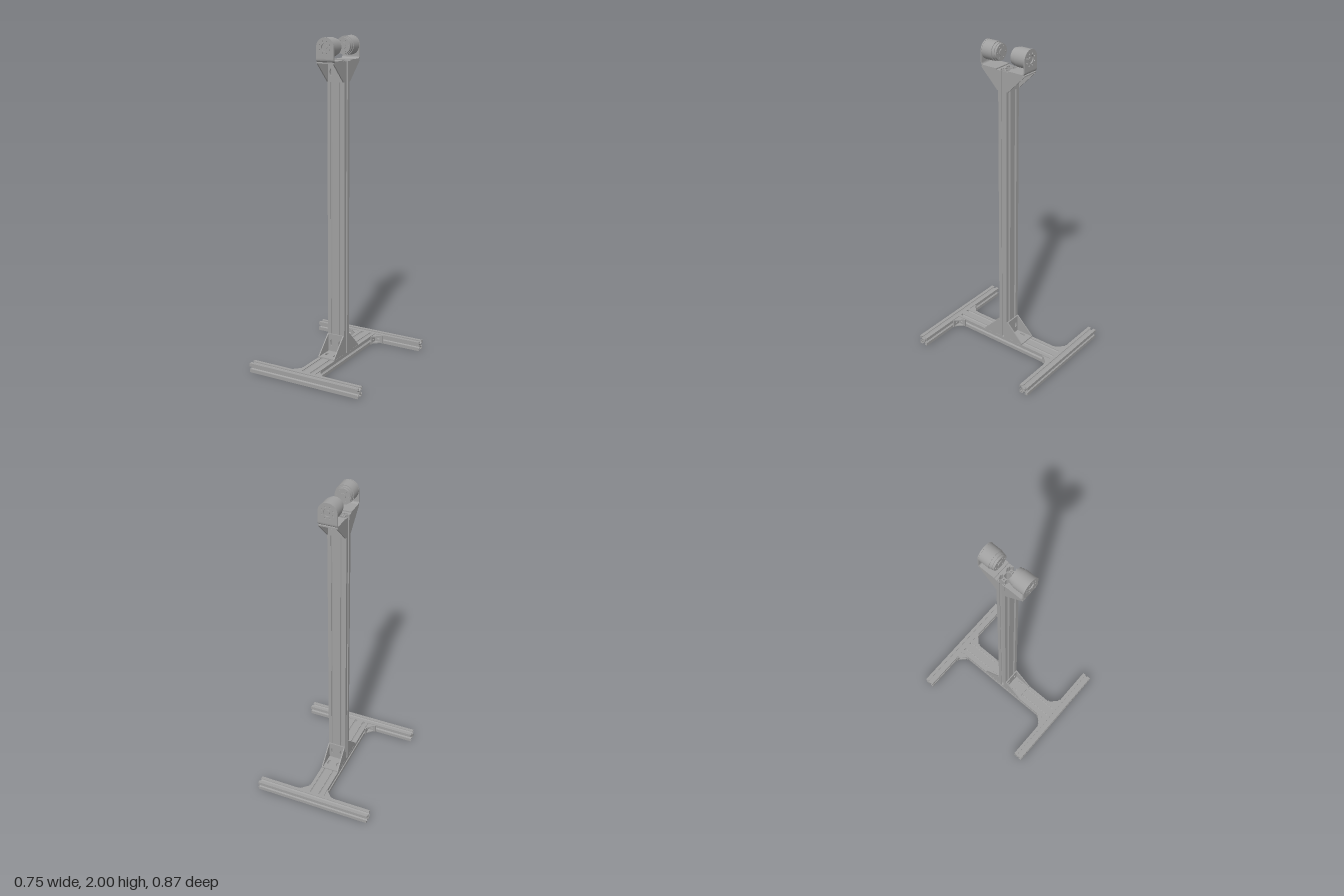
import * as THREE from 'three';

const H = 0.029;      // half side of one square rail
const POST_TOP = 1.858;
const OFF = -0.002;   // slight sideways offset of post and beam
const MOTOR_Y = 1.942;

const grey = new THREE.MeshStandardMaterial({ color: 0xa0a0a0 });
grey.name = 'aluminium grey';

function mesh(name, geometry, parent) {
  const m = new THREE.Mesh(geometry, grey);
  m.name = name;
  parent.add(m);
  return m;
}

const poly = (pts) => new THREE.Shape(pts.map(([x, y]) => new THREE.Vector2(x, y)));

function circleHole(shape, x, y, rx, ry = rx) {
  const p = new THREE.Path();
  p.absellipse(x, y, rx, ry, 0, Math.PI * 2, true);
  shape.holes.push(p);
}

// Extrude along z, centred on z = 0
function extrude(shape, depth, curveSegments = 8) {
  const g = new THREE.ExtrudeGeometry(shape, { depth, bevelEnabled: false, curveSegments });
  return g.translate(0, 0, -depth / 2);
}

// Extrude a (z, y) outline along x, centred on x = 0
const extrudeSide = (shape, width) => extrude(shape, width).rotateY(-Math.PI / 2);

// T-slot rail section made of one or two square units side by side
function railShape(units) {
  const slot = [[-0.008, H], [-0.008, 0.025], [-0.0165, 0.025], [-0.0165, 0.0185], [-0.0075, 0.0105],
    [0.0075, 0.0105], [0.0165, 0.0185], [0.0165, 0.025], [0.008, 0.025], [0.008, H], [H, H]];
  const cx = units === 2 ? H : 0;
  const slots = units === 2
    ? [[cx, 0], [cx, 1], [-cx, 1], [-cx, 2], [-cx, 3], [cx, 3]]
    : [[0, 0], [0, 1], [0, 2], [0, 3]];
  const pts = [];
  for (const [x, quarter] of slots) {
    const c = Math.round(Math.cos(quarter * Math.PI / 2));
    const s = Math.round(Math.sin(quarter * Math.PI / 2));
    for (const [t, o] of slot) pts.push([x + o * c - t * s, o * s + t * c]);
  }
  const shape = poly(pts);
  // screw bores, corner hollows and the chamber between two units
  for (const x of units === 2 ? [-cx, cx] : [0]) circleHole(shape, x, 0, 0.005);
  for (const sx of [-1, 1]) {
    for (const sy of [-1, 1]) circleHole(shape, sx * (cx + 0.0232), sy * 0.0232, 0.0028);
  }
  if (units === 2) {
    shape.holes.push(poly([[-0.0185, -0.0075], [-0.0105, -0.0165], [0.0105, -0.0165], [0.0185, -0.0075],
      [0.0185, 0.0075], [0.0105, 0.0165], [-0.0105, 0.0165], [-0.0185, 0.0075]]));
  }
  return shape;
}

// Angle bracket: legs along +y and +z from the inner corner, two gusset cheeks
function angleBracket(name, size, width, t, reach, slotXs) {
  const group = new THREE.Group();
  group.name = name;
  const plate = () => {
    const s = poly([[-width / 2, 0], [width / 2, 0], [width / 2, size], [-width / 2, size]]);
    for (const x of slotXs) circleHole(s, x, size * 0.52, size * 0.07, size * 0.17);
    return extrude(s, t).translate(0, 0, t / 2);
  };
  mesh('upright leg', plate(), group);
  mesh('flat leg', plate().rotateX(Math.PI / 2).translate(0, t, 0), group);
  const cheek = poly([[0, 0], [size, 0], [size, t], [size * reach, t], [t, size * reach], [t, size], [0, size]]);
  for (const sx of [-1, 1]) {
    mesh('gusset', extrudeSide(cheek, t).translate(sx * (width - t) / 2, 0, 0), group);
  }
  return group;
}

// Motor with its bent mounting plate, for the +z side
function motorUnit() {
  const group = new THREE.Group();
  group.name = 'motorUnit';
  const R = 0.058;

  // upright face plate with rounded head
  const face = new THREE.Shape();
  face.moveTo(-R, 1.88 - MOTOR_Y);
  face.lineTo(R, 1.88 - MOTOR_Y);
  face.lineTo(R, 0);
  face.absarc(0, 0, R, 0, Math.PI, false);
  face.lineTo(-R, 1.88 - MOTOR_Y);
  circleHole(face, 0, 0, 0.024);
  for (let i = 0; i < 8; i++) {
    const a = (i + 0.5) * Math.PI / 4;
    circleHole(face, Math.cos(a) * 0.036, Math.sin(a) * 0.036, 0.005);
  }
  mesh('mountFace', extrude(face, 0.007, 24).translate(0, MOTOR_Y, 0.1495), group);

  // bend and foot of the plate
  const y = POST_TOP;
  const bend = new THREE.Shape();
  bend.moveTo(0.042, y);
  bend.lineTo(0.131, y);
  bend.quadraticCurveTo(0.153, y, 0.153, y + 0.022);
  bend.lineTo(0.146, y + 0.022);
  bend.quadraticCurveTo(0.146, y + 0.007, 0.131, y + 0.007);
  bend.lineTo(0.042, y + 0.007);
  mesh('mountFoot', extrudeSide(bend, 2 * R), group);

  // stepped motor housing
  const steps = [
    ['motorBody', 0.0565, 0.08, 0.146], ['motorCollar', 0.0525, 0.063, 0.08],
    ['motorCap', 0.049, 0.05, 0.063], ['motorHub', 0.02, 0.046, 0.05], ['motorShaft', 0.012, 0.14, 0.15],
  ];
  for (const [name, r, z0, z1] of steps) {
    mesh(name, new THREE.CylinderGeometry(r, r, z1 - z0, 48).rotateX(Math.PI / 2)
      .translate(0, MOTOR_Y, (z0 + z1) / 2), group);
  }
  for (let i = 0; i < 6; i++) {
    const a = i * Math.PI / 3;
    mesh('capScrew', new THREE.CylinderGeometry(0.004, 0.004, 0.004, 10).rotateX(Math.PI / 2)
      .translate(Math.cos(a) * 0.036, MOTOR_Y + Math.sin(a) * 0.036, 0.048), group);
  }
  return group;
}

export function createModel() {
  const model = new THREE.Group();
  model.name = 'motorStand';

  // rails: two feet, base beam and post
  const single = railShape(1);
  const twin = railShape(2);
  for (const sz of [1, -1]) {
    mesh(sz > 0 ? 'frontFoot' : 'backFoot',
      extrude(single, 0.746).rotateY(Math.PI / 2).translate(0, H, sz * 0.404), model);
  }
  mesh('baseBeam', extrude(twin, 0.75).translate(OFF, H, 0), model);
  mesh('post', extrude(twin, POST_TOP - 2 * H).rotateX(-Math.PI / 2)
    .translate(OFF, (POST_TOP + 2 * H) / 2, 0), model);

  // large brackets at post base and head, motors on top
  for (const sz of [1, -1]) {
    const yaw = sz > 0 ? 0 : Math.PI;
    const low = angleBracket('baseBracket', 0.12, 0.114, 0.007, 1, [-0.03, 0.03]);
    low.position.set(OFF, 2 * H, sz * H);
    low.rotation.set(0, yaw, 0);
    const high = angleBracket('headBracket', 0.12, 0.114, 0.007, 1, [-0.03, 0.03]);
    high.position.set(OFF, POST_TOP, sz * H);
    high.rotation.set(0, yaw, Math.PI);
    const motor = motorUnit();
    motor.position.x = OFF;
    motor.rotation.y = yaw;
    model.add(low, high, motor);
  }

  // small brackets in the four corners between beam and feet
  const corners = [[1, -1], [1, 1], [-1, 1], [-1, -1]];
  corners.forEach(([sx, sz], i) => {
    const b = angleBracket('cornerBracket', 0.06, 0.05, 0.007, 0.8, [0]);
    b.position.set(OFF + sx * 2 * H, H, sz * 0.375);
    b.rotation.set(0, i * Math.PI / 2, -Math.PI / 2);
    model.add(b);
  });

  return model;
}
